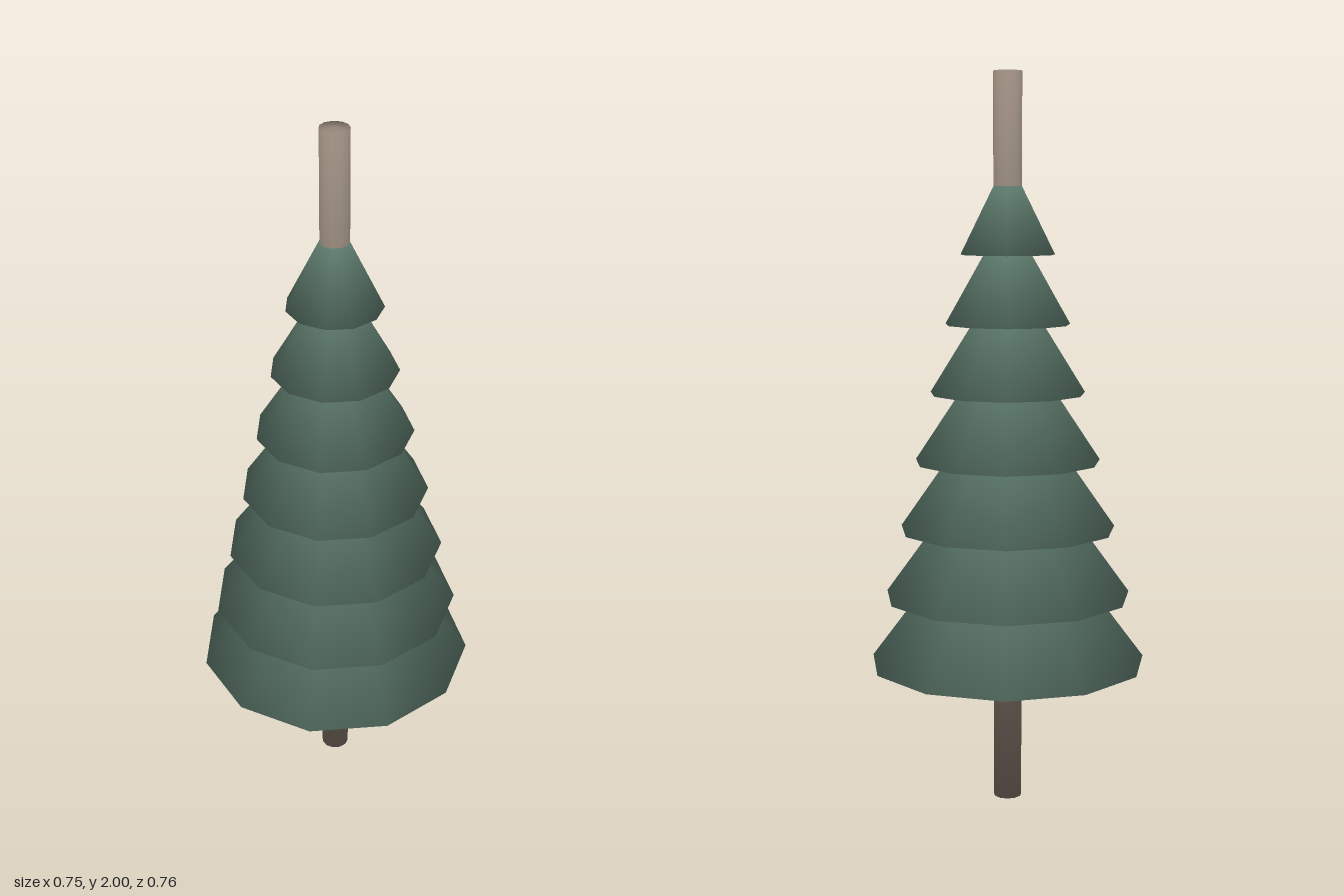
import * as THREE from 'three';

const SIDES = 11;

// Closed solid of revolution, its normals blended smoothly over every edge
function smoothLathe(profile) {
  const points = profile.map(([r, y]) => new THREE.Vector2(r, y));
  const geometry = new THREE.LatheGeometry(points, SIDES, Math.PI / 2);
  const edges = points.slice(1).map((p, i) => {
    const d = p.clone().sub(points[i]).normalize();
    return new THREE.Vector2(d.y, -d.x);
  });
  const last = points.length - 1;
  const normals = points.map((p, i) => {
    if (i === 0) return new THREE.Vector2(0, -1);
    if (i === last) return new THREE.Vector2(0, 1);
    return edges[i - 1].clone().add(edges[i]).normalize();
  });
  const attribute = geometry.attributes.normal;
  for (let i = 0; i <= SIDES; i++) {
    const a = Math.PI / 2 + (i / SIDES) * Math.PI * 2;
    normals.forEach((n, j) => {
      attribute.setXYZ(i * points.length + j, n.x * Math.sin(a), n.y, n.x * Math.cos(a));
    });
  }
  return geometry;
}

export function createModel() {
  const model = new THREE.Group();
  model.name = 'firTree';

  const bark = new THREE.MeshStandardMaterial({ color: 0x938578 });
  bark.name = 'bark';
  const needles = new THREE.MeshStandardMaterial({ color: 0x6f9080 });
  needles.name = 'needles';

  const add = (name, profile, material) => {
    const mesh = new THREE.Mesh(smoothLathe(profile), material);
    mesh.name = name;
    mesh.position.x = -0.009;
    model.add(mesh);
  };

  // Pole running through the whole tree
  add('trunk', [[0, 0], [0.039, 0], [0.039, 2], [0, 2]], bark);

  // Seven overlapping cones, smaller and shorter towards the top
  const tiers = 7;
  for (let i = 0; i < tiers; i++) {
    const t = i / (tiers - 1);
    const radius = THREE.MathUtils.lerp(0.384, 0.129, t);
    const bottom = THREE.MathUtils.lerp(0.39, 1.516, t);
    const height = THREE.MathUtils.lerp(0.515, 0.26, t);
    add(`branchTier${i + 1}`, [[0, bottom], [radius, bottom], [0, bottom + height]], needles);
  }

  return model;
}
